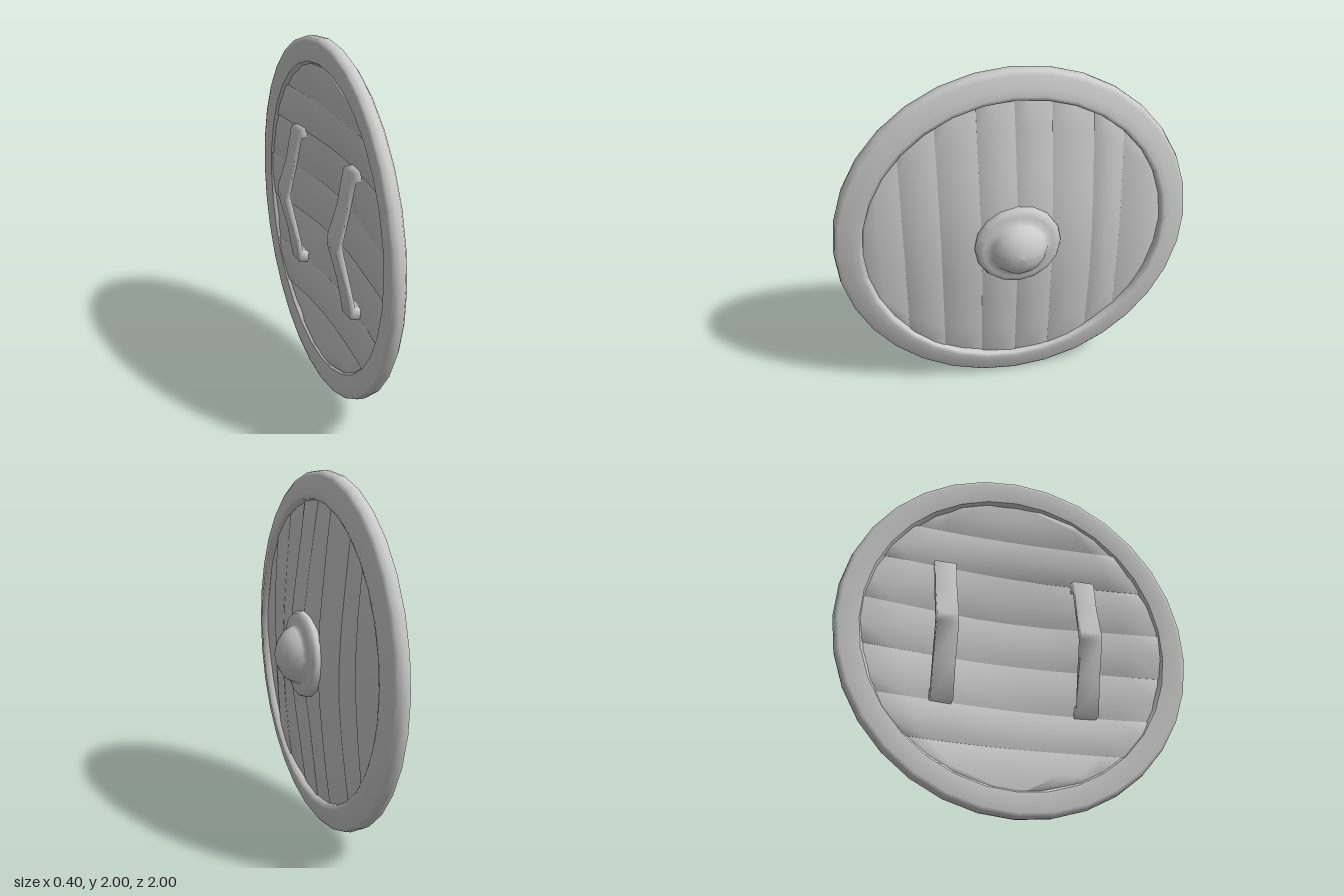
import * as THREE from 'three';
import { mergeVertices } from 'three/addons/utils/BufferGeometryUtils.js';

const material = new THREE.MeshStandardMaterial({ color: 0xcccccc, side: THREE.DoubleSide });

// Joins shared corners so the whole part shades softly
function smooth(geometry) {
  geometry.deleteAttribute('normal');
  geometry.deleteAttribute('uv');
  const merged = mergeVertices(geometry, 1e-4);
  merged.computeVertexNormals();
  return merged;
}

function part(name, geometry, y = 0) {
  const mesh = new THREE.Mesh(geometry, material);
  mesh.name = name;
  mesh.position.y = y;
  return mesh;
}

// Spins a (radius, x) profile about the shield's x axis
function turned(name, profile, segments) {
  const geometry = new THREE.LatheGeometry(profile.map(([r, x]) => new THREE.Vector2(r, x)), segments);
  geometry.rotateZ(-Math.PI / 2);
  return part(name, geometry, 1);
}

// One upright plank, cut to the circle and bent to the shallow cone of the board
function plankGeometry(z0, z1, shift, offset) {
  const radius = 0.88, thickness = 0.03;
  const geometry = new THREE.BoxGeometry(thickness, 1, z1 - z0, 1, 8, 2);
  const p = geometry.attributes.position;
  for (let i = 0; i < p.count; i++) {
    const z = p.getZ(i) + (z0 + z1) / 2;
    const y = 2 * p.getY(i) * Math.sqrt(Math.max(0, radius * radius - z * z));
    const dome = Math.min(0.04, 0.068 - 0.13 * Math.hypot(y, z));
    const wave = 0.005 * Math.sin(y * 4 + z * 9);
    p.setXYZ(i, p.getX(i) - thickness / 2 + dome + shift + offset + wave, y, z);
  }
  return geometry;
}

// A layer of planks between the given seams, upright or lying crosswise
function plankLayer(name, seams, shift, crosswise) {
  const layer = new THREE.Group();
  layer.name = name;
  for (let i = 0; i < seams.length - 1; i++) {
    const geometry = plankGeometry(seams[i], seams[i + 1], shift, i % 2 ? -0.003 : 0.002);
    if (crosswise) geometry.rotateX(-Math.PI / 2);
    layer.add(part('plank', smooth(geometry), 1));
  }
  return layer;
}

// Bowed strap handle, centred on z, with its ends let into the board
function handle(z) {
  const width = 0.12;
  const outline = [
    [-0.05, 1.42], [-0.11, 1.41], [-0.145, 1.22], [-0.2, 1.05], [-0.2, 1.0], [-0.145, 0.79],
    [-0.115, 0.6], [-0.05, 0.59], [-0.05, 0.65], [-0.09, 0.66], [-0.12, 0.82], [-0.16, 1.0],
    [-0.16, 1.04], [-0.12, 1.2], [-0.09, 1.36], [-0.05, 1.36],
  ].map(([x, y]) => new THREE.Vector2(x, y));
  const geometry = new THREE.ExtrudeGeometry(new THREE.Shape(outline), { depth: width, bevelEnabled: false });
  geometry.translate(0, 0, z - width / 2);
  return part('handle', smooth(geometry));
}

export function createModel() {
  const model = new THREE.Group();
  model.name = 'roundShield';

  // Rounded rim, flatter at the back and sloping on the front
  model.add(turned('rim', [
    [0.865, -0.112], [0.91, -0.12], [0.975, -0.12], [0.995, -0.115], [1, -0.085], [0.995, -0.055],
    [0.975, -0.04], [0.91, -0.023], [0.87, -0.013], [0.848, -0.018], [0.84, -0.05],
    [0.845, -0.09], [0.865, -0.112],
  ], 32));

  // Board: upright planks in front, crosswise planks behind
  model.add(plankLayer('frontBoard', [-0.88, -0.6, -0.43, -0.2, 0, 0.2, 0.42, 0.62, 0.88], 0, false));
  model.add(plankLayer('backBoard', [-0.88, -0.62, -0.4, -0.13, 0.13, 0.4, 0.62, 0.88], -0.026, true));

  // Central boss with its flange
  model.add(turned('boss', [
    [0.235, 0.01], [0.242, 0.05], [0.232, 0.072], [0.2, 0.082], [0.165, 0.085], [0.155, 0.105],
    [0.135, 0.14], [0.1, 0.17], [0.055, 0.192], [0, 0.2],
  ], 16));

  // Pair of handles on the inner side
  for (const z of [-0.41, 0.4]) model.add(handle(z));
  return model;
}
